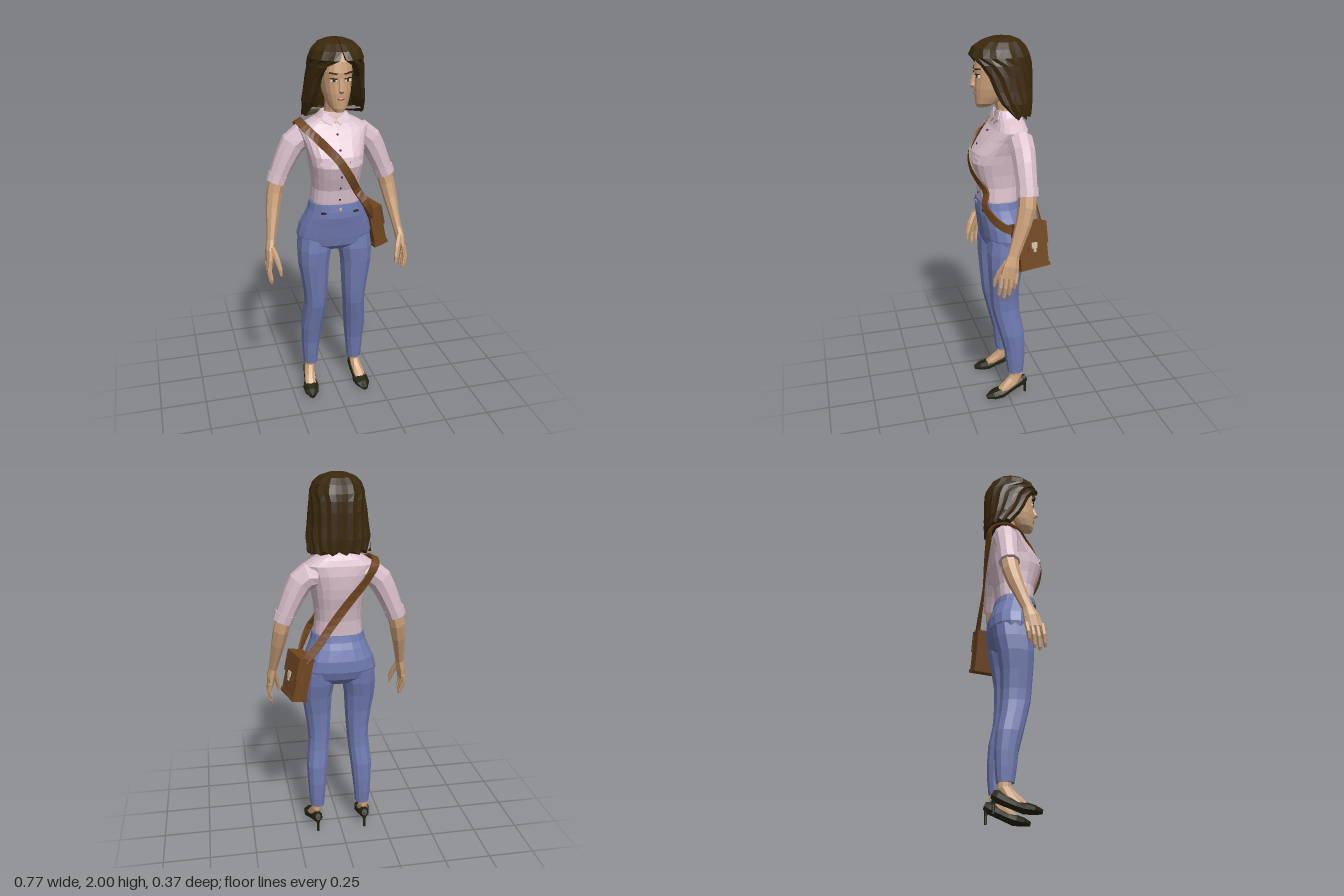
import * as THREE from 'three';

const mat = (name, color) => { const m = new THREE.MeshStandardMaterial({ color }); m.name = name; return m; };
const V = (x, y, z) => new THREE.Vector3(x, y, z);

// Faceted skin over rings that run counter-clockwise around the direction of travel
function skin(rings, caps = true) {
  const pos = [], n = rings[0].length;
  const tri = (...ps) => ps.forEach(p => pos.push(p.x, p.y, p.z));
  for (let r = 0; r < rings.length - 1; r++) for (let i = 0; i < n; i++) {
    const j = (i + 1) % n, a = rings[r], b = rings[r + 1];
    tri(a[i], a[j], b[j]);
    tri(a[i], b[j], b[i]);
  }
  if (caps) [rings[0], rings[rings.length - 1]].forEach((ring, end) => {
    const c = ring.reduce((s, p) => s.add(p), V(0, 0, 0)).divideScalar(n);
    for (let i = 0; i < n; i++) {
      const j = (i + 1) % n;
      if (end) tri(c, ring[i], ring[j]); else tri(c, ring[j], ring[i]);
    }
  });
  const g = new THREE.BufferGeometry();
  g.setAttribute('position', new THREE.Float32BufferAttribute(pos, 3));
  g.computeVertexNormals();
  return g;
}

// Body from level sections [y, halfWidth, zFront, zBack, xCentre], listed upward
const spow = (v, e) => Math.sign(v) * Math.abs(v) ** e;
function loft(sections, sides, n = 2, s = 1) {
  return skin(sections.map(([y, w, zf, zb, cx = 0]) => Array.from({ length: sides }, (_, i) => {
    const a = (i / sides) * Math.PI * 2;
    return V(s * cx + w * spow(Math.sin(a), 2 / n), y, (zf + zb) / 2 + (zf - zb) / 2 * spow(Math.cos(a), 2 / n));
  })));
}

// Front z of a loft at x, y
function frontZ(sections, x, y, n) {
  let k = 0;
  while (k < sections.length - 2 && sections[k + 1][0] < y) k++;
  const A = sections[k], B = sections[k + 1], t = (y - A[0]) / (B[0] - A[0]);
  const [w, zf, zb] = [1, 2, 3].map(i => A[i] + (B[i] - A[i]) * t);
  return (zf + zb) / 2 + (zf - zb) / 2 * Math.max(0, 1 - Math.abs(x / w) ** n) ** (1 / n);
}

// Limb along points [x, y, z, radiusAcross, radiusDeep]
function limb(points, sides = 8, s = 1) {
  const c = points.map(p => V(s * p[0], p[1], p[2]));
  return skin(points.map((p, k) => {
    const t = c[Math.min(k + 1, c.length - 1)].clone().sub(c[Math.max(k - 1, 0)]).normalize();
    const ref = Math.abs(t.z) > 0.75 ? V(0, 1, 0) : V(0, 0, 1);
    const u = ref.cross(t).normalize(), v = t.clone().cross(u);
    return Array.from({ length: sides }, (_, i) => {
      const a = ((i + 0.5) / sides) * Math.PI * 2;
      return c[k].clone().addScaledVector(u, p[3] * Math.cos(a)).addScaledVector(v, (p[4] ?? p[3]) * Math.sin(a));
    });
  }));
}

const TORSO = [[1.14, .128, .118, -.078], [1.18, .13, .124, -.08], [1.25, .122, .13, -.085], [1.32, .128, .155, -.1],
  [1.38, .138, .172, -.115], [1.43, .145, .158, -.122], [1.5, .165, .1, -.125], [1.55, .185, .055, -.118],
  [1.58, .14, .04, -.108], [1.605, .09, .034, -.095], [1.635, .062, .028, -.085]];
const HEAD = [[1.655, .022, .128, .07], [1.675, .043, .135, .02], [1.71, .058, .138, -.03], [1.75, .069, .14, -.06],
  [1.8, .077, .138, -.09], [1.85, .081, .14, -.1], [1.9, .076, .13, -.1], [1.95, .05, .09, -.08]];
const PELVIS = [[.9, .1, .07, -.08], [.935, .195, .112, -.112], [.98, .203, .12, -.128], [1.04, .188, .128, -.126],
  [1.1, .16, .138, -.108], [1.14, .143, .136, -.09], [1.172, .136, .132, -.084]];
const LEG = [[.15, .04, 0, -.09, .13], [.22, .046, .01, -.097, .13], [.3, .053, .02, -.1, .128], [.4, .06, .045, -.095, .125],
  [.5, .06, .07, -.075, .115], [.56, .06, .085, -.07, .11], [.62, .064, .092, -.068, .109], [.72, .074, .1, -.07, .113],
  [.82, .085, .107, -.085, .118], [.9, .093, .11, -.104, .112], [.97, .09, .1, -.11, .108]];
// Hair sections [y, halfWidth, zFront, zBack, half opening angle, inner scale]
const HAIR = [[1.635, .16, .05, -.145, 1.25, 1], [1.69, .162, .095, -.15, 1.02, .78], [1.75, .153, .12, -.15, .92, .75],
  [1.82, .146, .14, -.15, .82, .78], [1.875, .14, .158, -.147, .62, .8], [1.91, .135, .165, -.14, .12, .85],
  [1.95, .12, .145, -.12, .02, .85], [1.98, .09, .1, -.09, .02, .85], [1.997, .045, .05, -.05, .02, .85]];

export function createModel() {
  const root = new THREE.Group();
  const skinM = mat('skin', 0xcda27b), shirt = mat('shirt pink', 0xdac0cc), denim = mat('denim', 0x6f7ab0),
    hairM = mat('hair brown', 0x3a280c), leather = mat('bag leather', 0x70461f), shoeM = mat('shoe black', 0x22210e),
    metal = mat('buckle metal', 0xc9bba5), lipM = mat('lip', 0xb07565), dark = mat('dark detail', 0x302a30), white = mat('eye white', 0xe8e4de);
  const add = (name, geo, m, parent = root) => {
    const mesh = new THREE.Mesh(geo, m);
    mesh.name = name;
    parent.add(mesh);
    return mesh;
  };
  const box = (name, size, at, m, parent = root) => {
    const b = add(name, new THREE.BoxGeometry(...size), m, parent);
    b.position.set(...at);
    return b;
  };
  const plate = (name, pts, at, m) => {
    const p = add(name, new THREE.ExtrudeGeometry(new THREE.Shape(pts.map(q => new THREE.Vector2(...q))), { depth: .006, bevelEnabled: false }), m);
    p.position.set(...at);
    return p;
  };

  // Trunk, neck and head
  add('shirtBody', loft(TORSO, 20, 2.7), shirt);
  add('jeansHips', loft(PELVIS, 18, 2.3), denim);
  add('neck', limb([[0, 1.58, -.03, .055, .052], [0, 1.65, -.015, .045, .045], [0, 1.75, .0, .045, .05]], 10), skinM);
  add('head', loft(HEAD, 18, 2.3), skinM);
  add('nose', limb([[0, 1.825, .135, .008, .008], [0, 1.785, .146, .011, .013], [0, 1.768, .15, .016, .015], [0, 1.755, .138, .011, .008]], 6), skinM);
  add('lips', limb([[-.025, 1.722, .127, .003], [-.008, 1.725, .137, .007], [.008, 1.725, .137, .007], [.025, 1.722, .127, .003]], 6), lipM);

  // Hair: a thick shell, open over the face, with creased locks
  const N = 26;
  add('hair', skin(HAIR.map(([y, w, zf, zb, a0, inner], r) => {
    const at = (i, k) => {
      const a = a0 + (i / N) * (Math.PI * 2 - 2 * a0), lock = k * (1 + (i % 2 ? .025 : -.02));
      return V(.005 + w * lock * Math.sin(a), y - (r ? 0 : .012 * (i % 3)), (zf + zb) / 2 + (zf - zb) / 2 * lock * Math.cos(a));
    };
    const outer = Array.from({ length: N + 1 }, (_, i) => at(i, 1));
    return outer.concat(Array.from({ length: N + 1 }, (_, i) => at(N - i, inner)));
  })), hairM);

  for (const s of [1, -1]) {
    const side = s > 0 ? 'left' : 'right';
    // Face
    const onFace = (name, size, x, y, lift, m, roll = 0) => {
      const b = box(side + name, size, [s * x, y, frontZ(HEAD, x, y, 2.3) + lift], m);
      b.rotation.set(0, s * .3, s * roll);
    };
    onFace('Eye', [.032, .013, .008], .035, 1.815, -.001, white);
    onFace('Iris', [.012, .013, .008], .034, 1.815, .001, dark);
    onFace('EyeLid', [.038, .005, .009], .036, 1.823, .001, hairM, .1);
    onFace('Brow', [.042, .007, .009], .037, 1.848, 0, hairM, .15);

    // Collar, chest pocket
    plate(side + 'Collar', [[0, 0], [s * .025, -.028], [s * .075, .005], [s * .06, .042]], [0, 1.595, .036], shirt).rotation.x = -.35;
    box(side + 'PocketFlap', [.066, .016, .009], [s * .075, 1.405, frontZ(TORSO, .075, 1.405, 2.7)], shirt).rotation.set(-.2, s * .25, 0);

    // Arm
    add(side + 'Sleeve', limb([[.12, 1.495, -.055, .055, .058], [.165, 1.498, -.055, .068, .066], [.205, 1.465, -.055, .066, .064], [.235, 1.41, -.055, .06, .06],
      [.265, 1.345, -.055, .054, .056], [.292, 1.28, -.055, .05, .052]], 10, s), shirt);
    add(side + 'Cuff', limb([[.284, 1.305, -.055, .055, .058], [.3, 1.262, -.053, .053, .057]], 10, s), shirt);
    add(side + 'Forearm', limb([[.288, 1.29, -.055, .042, .046], [.31, 1.21, -.047, .042, .046], [.325, 1.13, -.025, .037, .041],
      [.34, 1.04, .008, .028, .034], [.351, .975, .032, .023, .03], [.362, .925, .047, .023, .042], [.368, .865, .06, .017, .047]], 8, s), skinM);
    add(side + 'Thumb', limb([[.352, .945, .07, .015], [.332, .885, .1, .015], [.32, .835, .118, .012], [.317, .8, .124, .006]], 6, s), skinM);
    for (let f = 0; f < 4; f++) {
      const z = .02 + f * .026, tip = [.79, .757, .745, .765][f];
      add(side + 'Finger', limb([[.368, .885, z, .013], [.375, (.885 + tip) / 2, z + .008, .012], [.366, tip + .015, z + .014, .01], [.362, tip, z + .015, .005]], 6, s), skinM);
    }

    // Leg, foot and court shoe
    add(side + 'JeansLeg', loft(LEG, 12, 2.2, s), denim);
    add(side + 'JeansPocket', new THREE.BoxGeometry(.03, .012, .008), dark).position.set(s * .085, 1.13, frontZ(PELVIS, .085, 1.13, 2.3));
    add(side + 'Foot', limb([[.132, .2, -.047, .03, .034], [.136, .125, -.05, .027, .034], [.14, .088, -.03, .029, .036], [.147, .055, .025, .032, .022], [.15, .035, .06, .03, .012]], 8, s), skinM);
    add(side + 'Shoe', limb([[.135, .095, -.108, .015, .02], [.136, .085, -.085, .03, .032], [.139, .062, -.04, .033, .027], [.144, .042, .005, .036, .024],
      [.149, .03, .045, .046, .028], [.154, .023, .09, .04, .022], [.157, .014, .128, .014, .012]], 8, s), shoeM);
    add(side + 'Heel', limb([[.135, .09, -.095, .018], [.135, .045, -.102, .008], [.135, 0, -.103, .007]], 6, s), shoeM);
  }

  // Shirt opening, placket buttons, jeans waistband and button
  plate('openNeck', [[-.022, .02], [0, -.025], [.022, .02]], [0, 1.598, .032], skinM).rotation.x = -.4;
  for (let i = 0; i < 6; i++) {
    const y = 1.2 + i * .066;
    box('shirtButton', [.009, .009, .008], [0, y, frontZ(TORSO, 0, y, 2.7)], dark);
  }
  add('waistband', loft([[1.135, .147, .141, -.095], [1.17, .139, .136, -.087]], 18, 2.3), denim);
  box('jeansButton', [.014, .014, .008], [0, 1.152, .138], metal);

  // Bag strap: a flat ribbon over the right shoulder, front to back
  const onChest = [[.1, 1.23], [.06, 1.3], [.03, 1.35], [-.015, 1.42], [-.06, 1.47], [-.11, 1.52]]
    .map(([x, y]) => V(x, y, frontZ(TORSO, x, y, 2.7) + .007));
  const curve = new THREE.CatmullRomCurve3([V(.215, 1.05, 0), V(.193, 1.08, .06), V(.138, 1.17, .125), ...onChest,
    V(-.155, 1.563, .02), V(-.175, 1.583, -.055), V(-.165, 1.555, -.128), V(-.12, 1.48, -.141), V(-.03, 1.37, -.144),
    V(.06, 1.25, -.143), V(.13, 1.15, -.15), V(.2, 1.07, -.155)]);
  const M = 44;
  add('bagStrap', skin(Array.from({ length: M + 1 }, (_, i) => {
    const p = curve.getPoint(i / M), t = curve.getTangent(i / M);
    const n = V(p.x * .6, Math.max(0, p.y - 1.5) * 2.5, p.z + .02);
    n.addScaledVector(t, -n.dot(t)).normalize();
    const w = t.clone().cross(n);
    return [[1, 1], [-1, 1], [-1, -1], [1, -1]].map(([a, b]) => p.clone().addScaledVector(n, a * .005).addScaledVector(w, b * .021));
  })), leather);

  // Satchel on the left hip
  const bag = new THREE.Group();
  bag.name = 'satchel';
  box('bagBody', [.075, .215, .165], [0, -.005, 0], leather, bag);
  box('bagBase', [.085, .018, .175], [0, -.11, 0], leather, bag);
  box('bagLid', [.085, .016, .172], [.002, .108, 0], leather, bag);
  box('bagFlap', [.009, .115, .172], [.041, .058, 0], leather, bag);
  box('bagFlapTip', [.009, .03, .07], [.041, -.01, 0], leather, bag);
  box('buckle', [.009, .03, .032], [.048, .004, 0], metal, bag);
  box('buckleTongue', [.009, .022, .014], [.048, -.02, 0], metal, bag);
  bag.position.set(.232, .972, -.088);
  bag.rotation.set(0, .25, .22);
  root.add(bag);
  return root;
}
